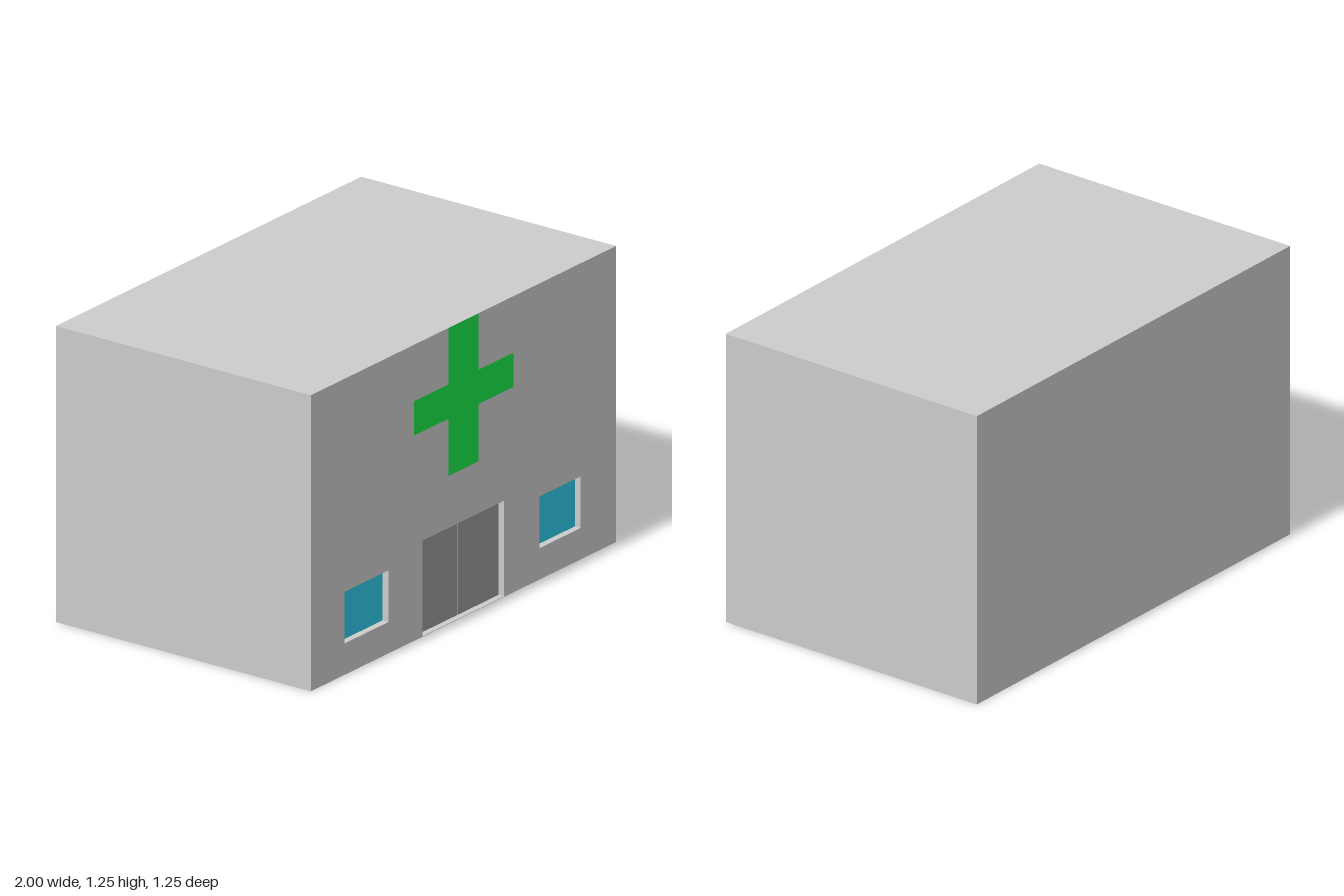
import * as THREE from 'three';

const WIDTH = 2, HEIGHT = 1.245, DEPTH = 1.245;
const RECESS = 0.03;
const FRONT = DEPTH / 2, BACK_OF_RECESS = FRONT - RECESS;

// Openings in the front wall: [x0, y0, x1, y1]
const DOORWAY = [-0.267, 0.002, 0.267, 0.404];
const WINDOWS = {
  rightWindow: [-0.78, 0.132, -0.492, 0.349],
  leftWindow: [0.497, 0.132, 0.768, 0.349],
};

const material = (color) => new THREE.MeshStandardMaterial({ color });

function rectPoints([x0, y0, x1, y1]) {
  return [[x0, y0], [x1, y0], [x1, y1], [x0, y1]].map(([x, y]) => new THREE.Vector2(x, y));
}

export function createModel() {
  const group = new THREE.Group();

  const add = (name, geometry, mat, x, y, z) => {
    const mesh = new THREE.Mesh(geometry, mat);
    mesh.name = name;
    mesh.position.set(x, y, z);
    group.add(mesh);
  };

  // Flat panel facing the front, filling a rectangle
  const addPanel = (name, [x0, y0, x1, y1], mat, z) =>
    add(name, new THREE.PlaneGeometry(x1 - x0, y1 - y0), mat, (x0 + x1) / 2, (y0 + y1) / 2, z);

  const wall = material(0xcccccc);
  const glass = material(0x2fcae9);
  const doorGrey = material(0x979797);
  const green = material(0x1be749);

  // Main block behind the front wall
  const bodyDepth = DEPTH - RECESS;
  add('buildingBody', new THREE.BoxGeometry(WIDTH, HEIGHT, bodyDepth), wall, 0, HEIGHT / 2, -RECESS / 2);

  // Front wall with recessed openings
  const facade = new THREE.Shape(rectPoints([-WIDTH / 2, 0, WIDTH / 2, HEIGHT]));
  for (const opening of [DOORWAY, ...Object.values(WINDOWS)]) {
    facade.holes.push(new THREE.Path(rectPoints(opening)));
  }
  const facadeGeometry = new THREE.ExtrudeGeometry(facade, { depth: RECESS, bevelEnabled: false });
  add('frontWall', facadeGeometry, wall, 0, 0, BACK_OF_RECESS);

  // Window panes
  for (const [name, rect] of Object.entries(WINDOWS)) {
    addPanel(name, rect, glass, BACK_OF_RECESS + 0.001);
  }

  // Double door, with the pale wall showing through the gap
  const [dx0, dy0, dx1, dy1] = DOORWAY;
  addPanel('rightDoor', [dx0, dy0, -0.007, dy1], doorGrey, BACK_OF_RECESS + 0.003);
  addPanel('leftDoor', [0, dy0, dx1, dy1], doorGrey, BACK_OF_RECESS + 0.003);

  // Green cross laid on the front wall
  const cross = new THREE.Shape([
    [-0.1, 0.623], [0.097, 0.623], [0.097, 0.864], [0.326, 0.864],
    [0.326, 1.008], [0.097, 1.008], [0.097, HEIGHT], [-0.1, HEIGHT],
    [-0.1, 1.008], [-0.326, 1.008], [-0.326, 0.864], [-0.1, 0.864],
  ].map(([x, y]) => new THREE.Vector2(x, y)));
  add('greenCross', new THREE.ShapeGeometry(cross), green, 0, 0, FRONT + 0.001);

  return group;
}
